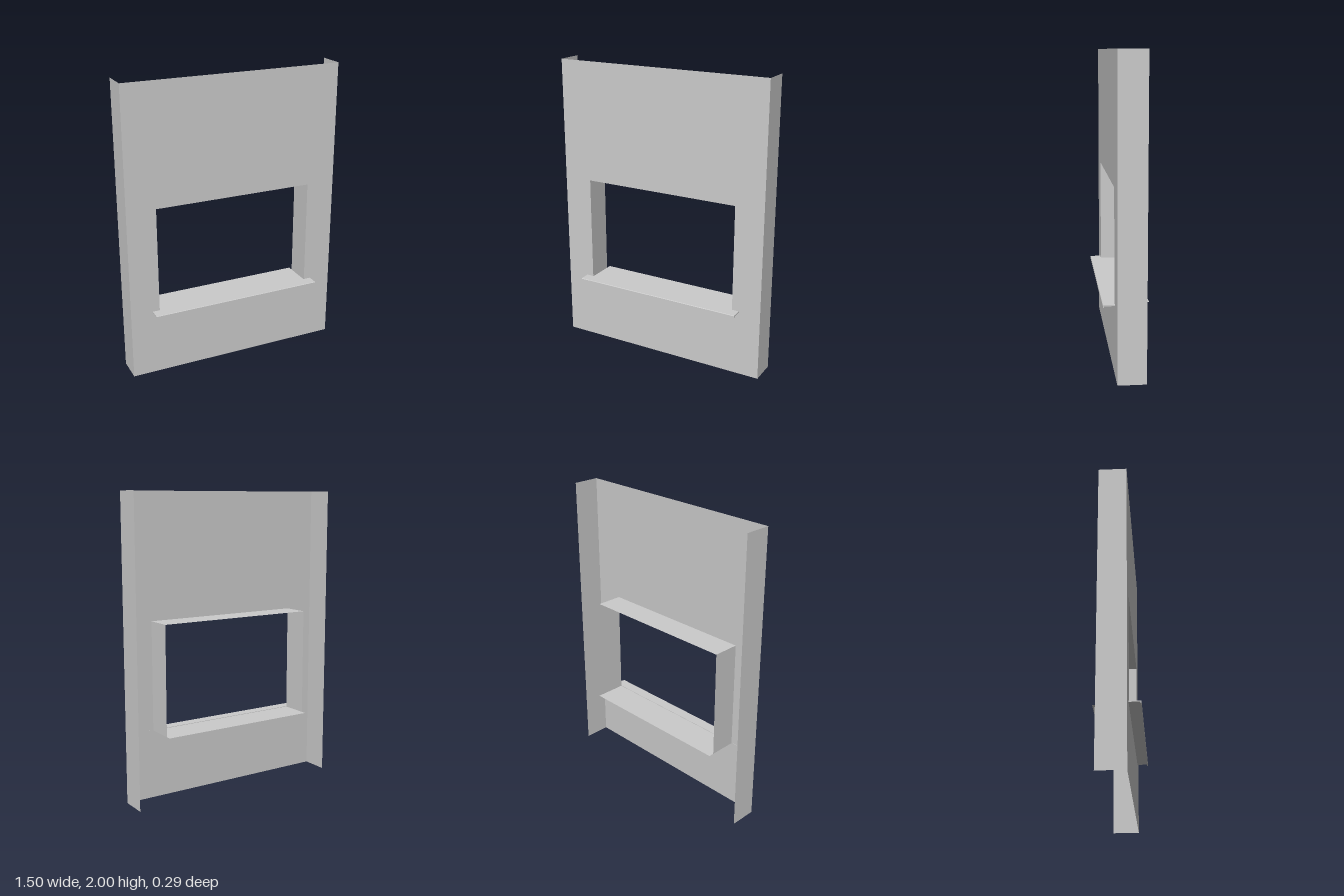
import * as THREE from 'three';

const material = new THREE.MeshStandardMaterial({ color: 0xcccccc, side: THREE.DoubleSide });
const FRONT = 0.07, BACK = -0.11;            // depth of the sheet faces
const LEFT = 0.55, HEAD = 1.18, SILL = 0.457; // opening

function add(group, name, geometry, x = 0, y = 0, z = 0) {
  const mesh = new THREE.Mesh(geometry, material);
  mesh.name = name;
  mesh.position.set(x, y, z);
  group.add(mesh);
  return mesh;
}

function rectangle(PathType, x, y0, y1) {
  const p = new PathType();
  p.moveTo(-x, y0);
  p.lineTo(x, y0);
  p.lineTo(x, y1);
  p.lineTo(-x, y1);
  p.closePath();
  return p;
}

export function createModel() {
  const group = new THREE.Group();
  group.name = 'wallPanelWithOpening';
  const depth = FRONT - BACK, midZ = (FRONT + BACK) / 2;

  // Front sheet with the window opening
  const face = rectangle(THREE.Shape, 0.75, 0, 2);
  face.holes.push(rectangle(THREE.Path, LEFT, SILL, HEAD));
  add(group, 'frontSheet', new THREE.ShapeGeometry(face), 0, 0, FRONT);

  // Outer side returns and window jambs, mirrored
  for (const side of [-1, 1]) {
    const label = side > 0 ? 'left' : 'right';
    const outer = new THREE.PlaneGeometry(depth, 2).rotateY(side * Math.PI / 2);
    add(group, label + 'Return', outer, side * 0.75, 1, midZ);
    const jamb = new THREE.PlaneGeometry(depth, HEAD - SILL).rotateY(-side * Math.PI / 2);
    add(group, label + 'Jamb', jamb, side * LEFT, (HEAD + SILL) / 2, midZ);
  }

  // Window head
  add(group, 'head', new THREE.PlaneGeometry(2 * LEFT, depth).rotateX(Math.PI / 2), 0, HEAD, midZ);

  // Inner sill board, running a little past the jambs at the back
  const sillBack = -0.146;
  add(group, 'innerSill', new THREE.PlaneGeometry(2 * LEFT, FRONT - sillBack).rotateX(-Math.PI / 2),
    0, SILL, (FRONT + sillBack) / 2);

  // Wider outer sill with a small folded drip edge (profile in z, y)
  const profile = new THREE.Shape([
    [0.069, 0.452], [0.138, 0.452], [0.138, 0.443], [0.145, 0.443],
    [0.145, 0.457], [0.142, 0.46], [0.069, 0.46],
  ].map(([z, y]) => new THREE.Vector2(z, y)));
  const outerSill = new THREE.ExtrudeGeometry(profile, { depth: 1.2, bevelEnabled: false })
    .translate(0, 0, -0.6).rotateY(-Math.PI / 2);
  add(group, 'outerSill', outerSill);

  return group;
}
